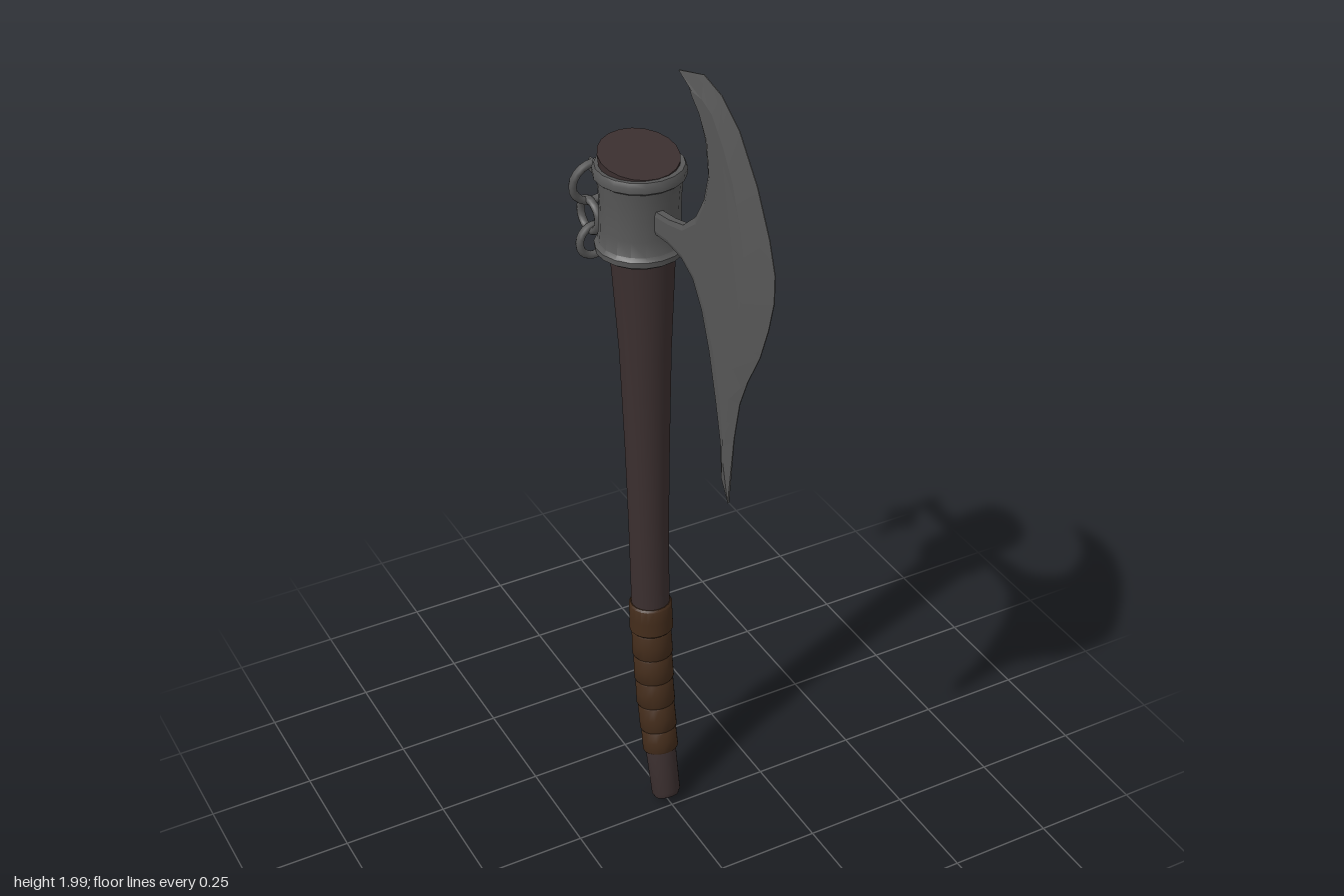
import * as THREE from 'three';
import { toCreasedNormals } from 'three/addons/utils/BufferGeometryUtils.js';

const mat = (name, color) => Object.assign(new THREE.MeshStandardMaterial({ color }), { name });

function triangles(list, crease = 0.7) {
  const geo = new THREE.BufferGeometry();
  geo.setAttribute('position', new THREE.Float32BufferAttribute(list.flat(), 3));
  geo.computeVertexNormals();
  return toCreasedNormals(geo, crease);
}
const quad = (out, a, b, c, d) => out.push(a, b, c, a, c, d);

// Capped tube along stations [z, y, radius, tilt in the side plane]
function loft(stations, sides = 20) {
  const out = [];
  const pt = ([z, y, r, t], j) => {
    const a = (j % sides) / sides * Math.PI * 2, c = r * Math.cos(a);
    return [r * Math.sin(a), y + c * Math.sin(t), z + c * Math.cos(t)];
  };
  const first = stations[0], last = stations[stations.length - 1];
  for (let j = 0; j < sides; j++) {
    for (let i = 0; i + 1 < stations.length; i++) {
      const s = stations[i], n = stations[i + 1];
      quad(out, pt(s, j), pt(s, j + 1), pt(n, j + 1), pt(n, j));
    }
    out.push([0, first[1], first[0]], pt(first, j + 1), pt(first, j));
    out.push([0, last[1], last[0]], pt(last, j), pt(last, j + 1));
  }
  return triangles(out);
}

// Curved shaft, from the foot upwards
const SHAFT = [
  [-0.027, 0.022, 0.029, 0.45], [-0.031, 0.034, 0.035, 0.43], [-0.058, 0.15, 0.037, 0.3],
  [-0.085, 0.3, 0.041, 0.17], [-0.1, 0.45, 0.043, 0.1], [-0.107, 0.57, 0.045, 0.05],
  [-0.113, 0.8, 0.047, 0.03], [-0.117, 1.0, 0.051, 0.03], [-0.123, 1.25, 0.058, 0.03],
  [-0.13, 1.45, 0.069, 0.03], [-0.142, 1.62, 0.08, 0], [-0.146, 1.71, 0.088, -0.22],
];
function shaftAt(y, extra) {
  const i = Math.max(1, SHAFT.findIndex(s => s[1] >= y));
  const a = SHAFT[i - 1], b = SHAFT[i], k = (y - a[1]) / (b[1] - a[1]);
  const [z, , r, t] = a.map((v, n) => v + (b[n] - v) * k);
  return [z, y, r + extra, t];
}

// Blade outline as [z, y, half thickness, inner z, inner y]
const CUTTING_EDGE = [
  [0.03, 1.97, 0.002, 0.1, 1.955], [0.13, 2.0, 0.001, 0.14, 1.955], [0.2, 1.985, 0.001, 0.18, 1.94],
  [0.27, 1.94, 0.001, 0.225, 1.89], [0.34, 1.855, 0.001, 0.265, 1.83], [0.39, 1.765, 0.001, 0.295, 1.75],
  [0.413, 1.7, 0.001, 0.31, 1.69], [0.413, 1.64, 0.001, 0.312, 1.63], [0.395, 1.57, 0.001, 0.305, 1.56],
  [0.365, 1.49, 0.001, 0.29, 1.5], [0.32, 1.41, 0.001, 0.275, 1.42], [0.29, 1.34, 0.001, 0.262, 1.34],
  [0.27, 1.245, 0.001, 0.25, 1.25], [0.25, 1.07, 0.002, 0.243, 1.17],
];
const BACK_EDGE = [
  [0.225, 1.12, 0.004, 0.237, 1.18], [0.222, 1.21, 0.006, 0.238, 1.24], [0.2, 1.3, 0.006, 0.225, 1.32],
  [0.17, 1.405, 0.006, 0.195, 1.42], [0.137, 1.485, 0.006, 0.155, 1.5], [0.1, 1.537, 0.006, 0.115, 1.55],
  [0.053, 1.563, 0.007, 0.06, 1.575], [0, 1.57, 0.008, 0, 1.58], [-0.06, 1.565, 0.008, -0.06, 1.575],
  [-0.06, 1.618, 0.008, -0.06, 1.608], [0, 1.627, 0.008, 0, 1.617], [0.06, 1.643, 0.007, 0.062, 1.632],
  [0.11, 1.685, 0.006, 0.12, 1.675], [0.143, 1.738, 0.006, 0.155, 1.735], [0.16, 1.8, 0.006, 0.172, 1.8],
  [0.148, 1.87, 0.006, 0.162, 1.875], [0.117, 1.923, 0.005, 0.13, 1.92], [0.075, 1.955, 0.004, 0.1, 1.945],
];

function bladeGeometry() {
  const edge = [...CUTTING_EDGE, ...BACK_EDGE], half = 0.011, out = [];
  const rim = (e, s) => [s * e[2], e[1], e[0]];
  const inner = (e, s) => [s * half, e[4], e[3]];
  edge.forEach((a, i) => {
    const b = edge[(i + 1) % edge.length];
    quad(out, rim(a, 1), rim(b, 1), inner(b, 1), inner(a, 1));
    quad(out, rim(a, -1), inner(a, -1), inner(b, -1), rim(b, -1));
    quad(out, rim(a, -1), rim(b, -1), rim(b, 1), rim(a, 1));
  });
  // Flat cheeks, seen in the plane whose axes are -z and y
  const flat = edge.map(e => new THREE.Vector2(-e[3], e[4]));
  for (const tri of THREE.ShapeUtils.triangulateShape(flat, [])) {
    const [p, q, r] = tri.map(i => flat[i]);
    const area = (q.x - p.x) * (r.y - p.y) - (q.y - p.y) * (r.x - p.x);
    const f = area > 0 ? tri : [tri[0], tri[2], tri[1]];
    out.push(...f.map(i => inner(edge[i], 1)));
    out.push(...[f[0], f[2], f[1]].map(i => inner(edge[i], -1)));
  }
  return triangles(out, 0.1);
}

export function createModel() {
  const group = new THREE.Group();
  const wood = mat('dark wood', 0x3b2f2f);
  const leather = mat('brown leather', 0x432c1b);
  const steel = mat('dark steel', 0x575757);
  const add = (name, geo, material, parent = group) => {
    const mesh = new THREE.Mesh(geo, material);
    mesh.name = name;
    parent.add(mesh);
    return mesh;
  };

  add('shaft', loft(SHAFT), wood);

  // Overlapping leather bands around the grip
  const grip = new THREE.Group();
  grip.name = 'grip';
  group.add(grip);
  const cuts = [0.15, 0.21, 0.28, 0.35, 0.42, 0.49, 0.57];
  for (let i = 0; i + 1 < cuts.length; i++) {
    const lo = cuts[i], hi = cuts[i + 1], mid = (lo + hi) / 2, top = i === 5 ? 0.002 : 0;
    add('gripBand', loft([shaftAt(lo, 0.003), shaftAt(lo + 0.005, 0.006 + top),
      shaftAt(mid, 0.005 + top), shaftAt(hi - 0.005, 0.004 + top), shaftAt(hi, 0.002)]), leather, grip);
  }

  // Collar with a rolled rim at each end
  const profile = [[0.066, 1.495], [0.09, 1.488], [0.098, 1.494], [0.099, 1.507], [0.091, 1.515],
    [0.088, 1.55], [0.087, 1.59], [0.089, 1.63], [0.092, 1.662], [0.1, 1.668], [0.101, 1.682],
    [0.096, 1.692], [0.082, 1.69]].map(p => new THREE.Vector2(...p));
  const collar = add('collar', toCreasedNormals(new THREE.LatheGeometry(profile, 18), 0.7), steel);
  collar.position.z = -0.142;

  add('blade', bladeGeometry(), steel);

  // Tapered spike at the back
  const spikeGeo = new THREE.CylinderGeometry(0.018, 0.036, 0.17, 10);
  spikeGeo.scale(0.35, 1, 1).rotateX(-Math.PI / 2);
  add('spike', spikeGeo, steel).position.set(0, 1.585, -0.29);

  // Hanging chain: [radius, x, y, z, turn about y, tilt about x]
  const chain = new THREE.Group();
  chain.name = 'chain';
  group.add(chain);
  for (const [r, x, y, z, turn, tilt] of [
    [0.05, 0.002, 1.545, -0.368, 0, 0.14],
    [0.037, -0.008, 1.465, -0.368, Math.PI / 2 + 0.1, 0],
    [0.037, 0, 1.402, -0.366, 0.1, 0],
  ]) {
    const link = add('chainLink', new THREE.TorusGeometry(r, 0.0095, 8, 20), steel, chain);
    link.position.set(x, y, z);
    link.rotation.set(tilt, turn, 0);
  }
  return group;
}
